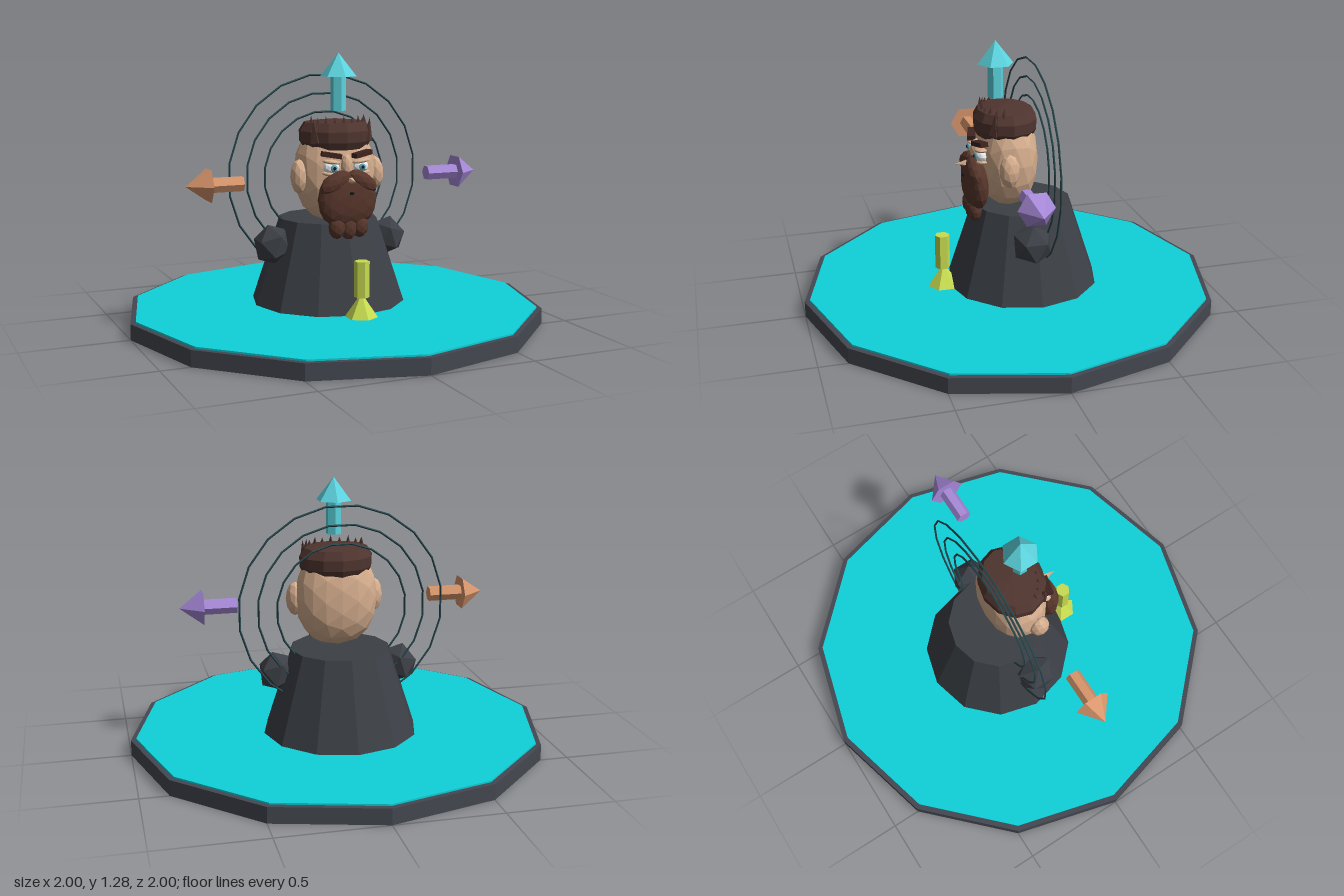
import * as THREE from 'three';

const mat = (color) => new THREE.MeshStandardMaterial({ color, flatShading: true });
const M = {
  rim: mat(0x444850), floor: mat(0x0fd0d8), coat: mat(0x3c4046), ring: mat(0x28484e),
  skin: mat(0xd6ae8e), hair: mat(0x50352f), beard: mat(0x57362b), brow: mat(0x3f2420),
  white: mat(0xe8eef0), iris: mat(0x5aa4b4), pupil: mat(0x15181c),
  cyan: mat(0x5cd4de), orange: mat(0xd8966c), purple: mat(0xa88ada), lime: mat(0xc8dc50),
};

function add(parent, name, geometry, material, x = 0, y = 0, z = 0) {
  const mesh = new THREE.Mesh(geometry, material);
  mesh.name = name;
  mesh.position.set(x, y, z);
  parent.add(mesh);
  return mesh;
}

// faceted ellipsoid; power below 1 makes it boxier
function blob(rx, ry, rz, detail = 1, power = 1) {
  const g = new THREE.IcosahedronGeometry(1, detail);
  const p = g.attributes.position;
  const f = (v) => Math.sign(v) * Math.abs(v) ** power;
  for (let i = 0; i < p.count; i++) {
    p.setXYZ(i, f(p.getX(i)) * rx, f(p.getY(i)) * ry, f(p.getZ(i)) * rz);
  }
  g.computeVertexNormals();
  return g;
}

// six-sided arrow, shaft starting at its origin and pointing up
function arrow(name, material) {
  const g = new THREE.Group();
  g.name = name;
  add(g, 'arrowShaft', new THREE.CylinderGeometry(0.037, 0.037, 0.165, 6), material, 0, 0.082);
  add(g, 'arrowHead', new THREE.ConeGeometry(0.086, 0.11, 6), material, 0, 0.215);
  return g;
}

export function createModel() {
  const root = new THREE.Group();
  root.name = 'bust';

  // twelve-sided platform
  add(root, 'platform', new THREE.CylinderGeometry(1, 1, 0.075, 12), M.rim, 0, 0.0375);
  add(root, 'platformTop', new THREE.CylinderGeometry(0.975, 0.975, 0.01, 12), M.floor, 0, 0.078);

  // body and hands
  add(root, 'body', new THREE.CylinderGeometry(0.237, 0.372, 0.41, 12), M.coat, 0, 0.287, -0.068);
  for (const s of [-1, 1]) {
    const hand = add(root, s > 0 ? 'leftHand' : 'rightHand',
      new THREE.IcosahedronGeometry(0.1, 0), M.coat, s * 0.3, 0.38, -0.035);
    hand.scale.x = 0.92;
    hand.rotation.z = s * 0.3;
  }

  // rings behind the head
  for (const r of [0.31, 0.4, 0.49]) {
    const ring = add(root, 'ring', new THREE.TorusGeometry(r, 0.005, 4, 20), M.ring, 0, 0.69, -0.11);
    ring.rotation.z = Math.PI / 20;
  }

  // head
  const head = new THREE.Group();
  head.name = 'head';
  root.add(head);
  add(head, 'skull', blob(0.197, 0.235, 0.145, 2, 0.88), M.skin, 0, 0.72, 0.012);
  add(head, 'nose', new THREE.ConeGeometry(0.026, 0.09, 5), M.skin, 0, 0.7, 0.215).rotation.x = Math.PI / 2;
  add(head, 'noseBridge', blob(0.028, 0.06, 0.03), M.skin, 0, 0.76, 0.155);

  for (const s of [-1, 1]) {
    const ear = add(head, 'ear', blob(0.042, 0.082, 0.05), M.skin, s * 0.194, 0.71, 0.045);
    ear.rotation.y = s * 0.3;
    add(head, 'eye', blob(0.04, 0.032, 0.032), M.white, s * 0.074, 0.757, 0.147);
    add(head, 'iris', blob(0.017, 0.017, 0.008), M.iris, s * 0.072, 0.757, 0.176);
    add(head, 'pupil', blob(0.008, 0.008, 0.005), M.pupil, s * 0.072, 0.757, 0.183);
    const lid = add(head, 'eyelid', blob(0.045, 0.012, 0.034), M.skin, s * 0.074, 0.784, 0.149);
    lid.rotation.z = s * 0.15;
    const pouch = add(head, 'lowerLid', blob(0.042, 0.012, 0.03), M.skin, s * 0.08, 0.728, 0.147);
    pouch.rotation.z = s * 0.15;
    const brow = add(head, 'eyebrow', new THREE.BoxGeometry(0.095, 0.022, 0.04), M.brow, s * 0.078, 0.817, 0.158);
    brow.rotation.set(0, s * 0.25, s * 0.16);
  }

  // beard: rounded mass, moustache halves, hanging tufts
  add(head, 'beard', blob(0.147, 0.135, 0.055, 2, 0.85), M.beard, 0, 0.61, 0.165);
  for (const s of [-1, 1]) {
    const half = add(head, 'moustache', blob(0.085, 0.045, 0.04), M.beard, s * 0.068, 0.69, 0.18);
    half.rotation.z = -s * 0.55;
  }
  for (const [x, y, h] of [[-0.058, 0.48, 0.055], [0, 0.475, 0.06], [0.058, 0.48, 0.055]]) {
    add(head, 'beardTuft', blob(0.042, h, 0.035), M.beard, x, y, 0.178);
  }
  add(head, 'mouth', blob(0.012, 0.008, 0.008), M.pupil, 0, 0.642, 0.218);

  // hair: band with a low crown and upright tufts
  const profile = [[0.001, 0.83], [0.9, 0.835], [1.02, 0.87], [1.03, 0.92], [0.88, 0.96], [0.001, 0.975]]
    .map(([r, y]) => new THREE.Vector2(r, y));
  const cap = add(head, 'hair', new THREE.LatheGeometry(profile, 12), M.hair, 0, 0, 0.017);
  cap.scale.set(0.172, 1, 0.147);
  for (let i = 0; i < 9; i++) {
    const a = (i - 4) * 0.3;
    const h = i % 2 ? 0.055 : 0.075;
    const tuft = add(head, 'hairTuft', new THREE.ConeGeometry(0.021, h, 4), M.hair,
      Math.sin(a) * 0.145, 0.957, 0.017 + Math.cos(a) * 0.11);
    tuft.rotation.x = -0.15;
  }
  for (const s of [-1, 1]) {
    const tuft = add(head, 'sideTuft', new THREE.ConeGeometry(0.028, 0.11, 4), M.hair, s * 0.138, 0.925, 0.1);
    tuft.rotation.z = -s * 0.12;
  }

  // direction arrows
  const up = arrow('upArrow', M.cyan);
  up.position.set(0, 1.015, 0.06);
  const right = arrow('rightArrow', M.orange);
  right.position.set(-0.475, 0.693, 0.048);
  right.rotation.z = Math.PI / 2;
  const left = arrow('leftArrow', M.purple);
  left.position.set(0.475, 0.693, 0.048);
  left.rotation.z = -Math.PI / 2;
  root.add(up, right, left);

  // front marker: shaft standing on a cone
  add(root, 'markerShaft', new THREE.CylinderGeometry(0.036, 0.036, 0.168, 6), M.lime, 0, 0.261, 0.328);
  add(root, 'markerCone', new THREE.ConeGeometry(0.078, 0.115, 6), M.lime, 0, 0.138, 0.325);

  return root;
}
